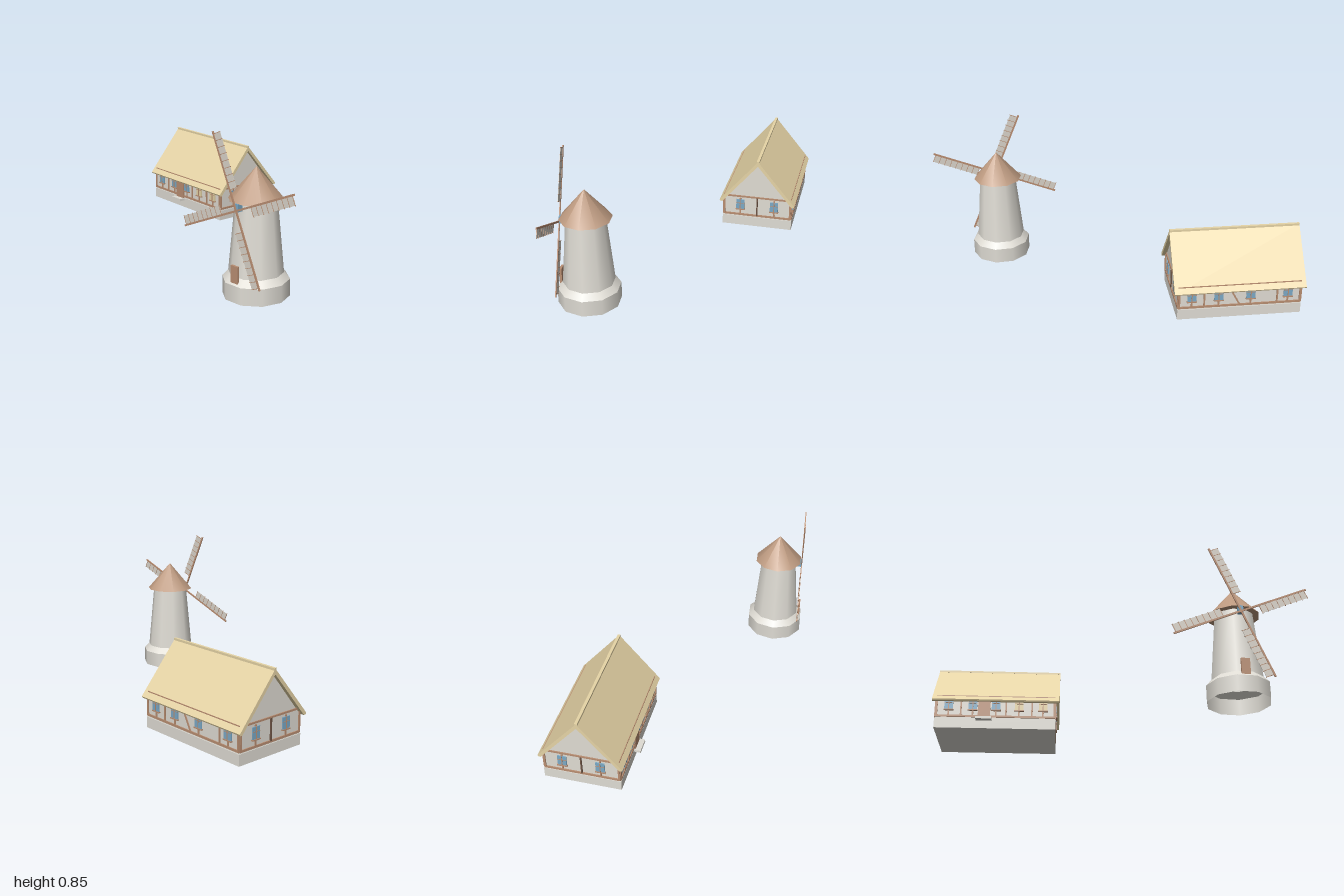
import * as THREE from 'three';

const mat = (name, color, extra = {}) => {
  const m = new THREE.MeshStandardMaterial({ color, ...extra });
  m.name = name;
  return m;
};
const stone = mat('stone', 0xdfdcd4, { side: THREE.DoubleSide });
const plaster = mat('plaster', 0xe0dcd3);
const thatch = mat('thatch', 0xe6d4a6);
const timber = mat('timber', 0xb98e72);
const darkTimber = mat('dark timber', 0x6e5444);
const shingle = mat('shingle', 0xbc997f);
const glass = mat('glass', 0x7ba9c6);
const cloth = mat('sail cloth', 0xd8d2c8, { side: THREE.DoubleSide });

function add(parent, name, geometry, material, x = 0, y = 0, z = 0) {
  const mesh = new THREE.Mesh(geometry, material);
  mesh.name = name;
  mesh.position.set(x, y, z);
  parent.add(mesh);
  return mesh;
}
const box = (parent, name, material, w, h, d, x, y, z) =>
  add(parent, name, new THREE.BoxGeometry(w, h, d), material, x, y, z);

function group(parent, name, x = 0, y = 0, z = 0, ry = 0) {
  const g = new THREE.Group();
  g.name = name;
  g.position.set(x, y, z);
  g.rotation.y = ry;
  parent.add(g);
  return g;
}

// Ten-sided body with corners on the x axis
function decagon(parent, name, material, top, bottom, y0, y1, open) {
  const g = new THREE.CylinderGeometry(top, bottom, y1 - y0, 10, 1, open);
  g.rotateY(Math.PI / 2);
  return add(parent, name, g, material, 0, (y0 + y1) / 2, 0);
}

function buildWindmill(root) {
  const mill = group(root, 'windmill', 0.62, 0, 0.485);
  decagon(mill, 'base', stone, 0.174, 0.174, 0, 0.091, true);
  decagon(mill, 'baseShoulder', stone, 0.143, 0.174, 0.091, 0.125, true);
  decagon(mill, 'tower', stone, 0.107, 0.143, 0.125, 0.51, true);
  decagon(mill, 'cap', shingle, 0, 0.143, 0.507, 0.673, false);
  box(mill, 'door', timber, 0.048, 0.094, 0.012, 0, 0.144, 0.152);
  box(mill, 'axle', glass, 0.026, 0.04, 0.029, 0, 0.488, 0.128);

  // Four sails: a stock with a lattice panel on its clockwise side
  const sails = group(mill, 'sails', 0, 0.473, 0.144);
  for (let k = 0; k < 4; k++) {
    const sail = group(sails, 'sail');
    sail.rotation.z = THREE.MathUtils.degToRad(23.3 + 90 * k);
    box(sail, 'stock', timber, 0.405, 0.01, 0.006, 0.2025, 0, 0);
    box(sail, 'sailPanel', cloth, 0.287, 0.045, 0.002, 0.2495, -0.027, 0);
    for (let i = 0; i < 9; i++)
      box(sail, 'rung', timber, 0.003, 0.052, 0.004, 0.108 + i * 0.0354, -0.026, 0);
  }
}

// Window set on a wall whose outside faces +z
function buildWindow(wall, x, pane) {
  const w = group(wall, 'window', x, 0.181, 0);
  box(w, 'stud', timber, 0.009, 0.11, 0.008, 0, -0.013, 0);
  box(w, 'windowPane', pane, 0.05, 0.064, 0.006, 0, 0, 0.004);
  box(w, 'mullion', timber, 0.005, 0.064, 0.004, 0, 0, 0.007);
  box(w, 'transom', timber, 0.05, 0.003, 0.004, 0, 0.008, 0.007);
  box(w, 'sill', timber, 0.056, 0.006, 0.012, 0, -0.034, 0.005);
}

function beams(wall, width) {
  box(wall, 'sillBeam', timber, width, 0.012, 0.01, 0, 0.11, 0);
  for (const s of [-1, 1]) box(wall, 'cornerPost', timber, 0.011, 0.12, 0.01, s * (width / 2 - 0.005), 0.165, 0);
}

// Solid with a constant cross-section along x
function prism(points, length) {
  const g = new THREE.ExtrudeGeometry(
    new THREE.Shape(points.map(([a, b]) => new THREE.Vector2(a, b))), { depth: length, bevelEnabled: false });
  g.translate(0, 0, -length / 2);
  return g.rotateY(Math.PI / 2);
}

function buildHouse(root) {
  const house = group(root, 'house', -0.613, 0, -0.39, -0.094);
  box(house, 'foundation', stone, 0.698, 0.061, 0.43, 0, 0.067, 0);
  add(house, 'walls', prism([[-0.21, 0.096], [0.21, 0.096], [0.21, 0.2], [0, 0.456], [-0.21, 0.2]], 0.69), plaster);

  // Steep roof as one bent slab, with a ridge cap
  add(house, 'roof', prism([[0.228, 0.2], [0.232, 0.208], [0, 0.484], [-0.232, 0.208],
    [-0.228, 0.2], [-0.216, 0.198], [0, 0.455], [0.216, 0.198]], 0.737), thatch);
  box(house, 'ridgeCap', thatch, 0.737, 0.012, 0.016, 0, 0.481, 0);

  // Long walls
  const front = group(house, 'frontWall', 0, 0, 0.211);
  const back = group(house, 'backWall', 0, 0, -0.211, Math.PI);
  for (const wall of [front, back]) {
    beams(wall, 0.69);
    // Wall plate just showing through the eaves
    box(wall, 'wallPlate', timber, 0.69, 0.01, 0.008, 0, 0.234, -0.005);
    for (const x of [-0.2, 0.06, 0.21]) box(wall, 'post', timber, 0.009, 0.11, 0.009, x, 0.165, 0);
  }
  for (const x of [-0.271, -0.132, 0.002]) buildWindow(front, x, glass);
  for (const x of [0.135, 0.274]) buildWindow(front, x, thatch);
  for (const x of [-0.27, -0.12, 0.06, 0.27]) buildWindow(back, x, glass);
  const brace = box(back, 'brace', timber, 0.009, 0.12, 0.008, -0.03, 0.165, 0);
  brace.rotation.z = 0.5;

  // Front door and step
  box(front, 'door', timber, 0.07, 0.12, 0.016, -0.066, 0.155, 0.002);
  box(front, 'step', stone, 0.09, 0.014, 0.045, -0.066, 0.09, 0.018);

  // Gable walls
  for (const s of [-1, 1]) {
    const gable = group(house, 'gableWall', s * 0.346, 0, 0, s * Math.PI / 2);
    beams(gable, 0.42);
    box(gable, 'topBeam', timber, 0.38, 0.01, 0.01, 0, 0.234, 0);
    box(gable, 'middlePost', darkTimber, 0.008, 0.12, 0.012, 0, 0.171, 0);
    for (const x of [-0.105, 0.105]) buildWindow(gable, x, glass);
  }
}

export function createModel() {
  const root = new THREE.Group();
  root.name = 'windmillAndFarmhouse';
  buildWindmill(root);
  buildHouse(root);
  return root;
}
